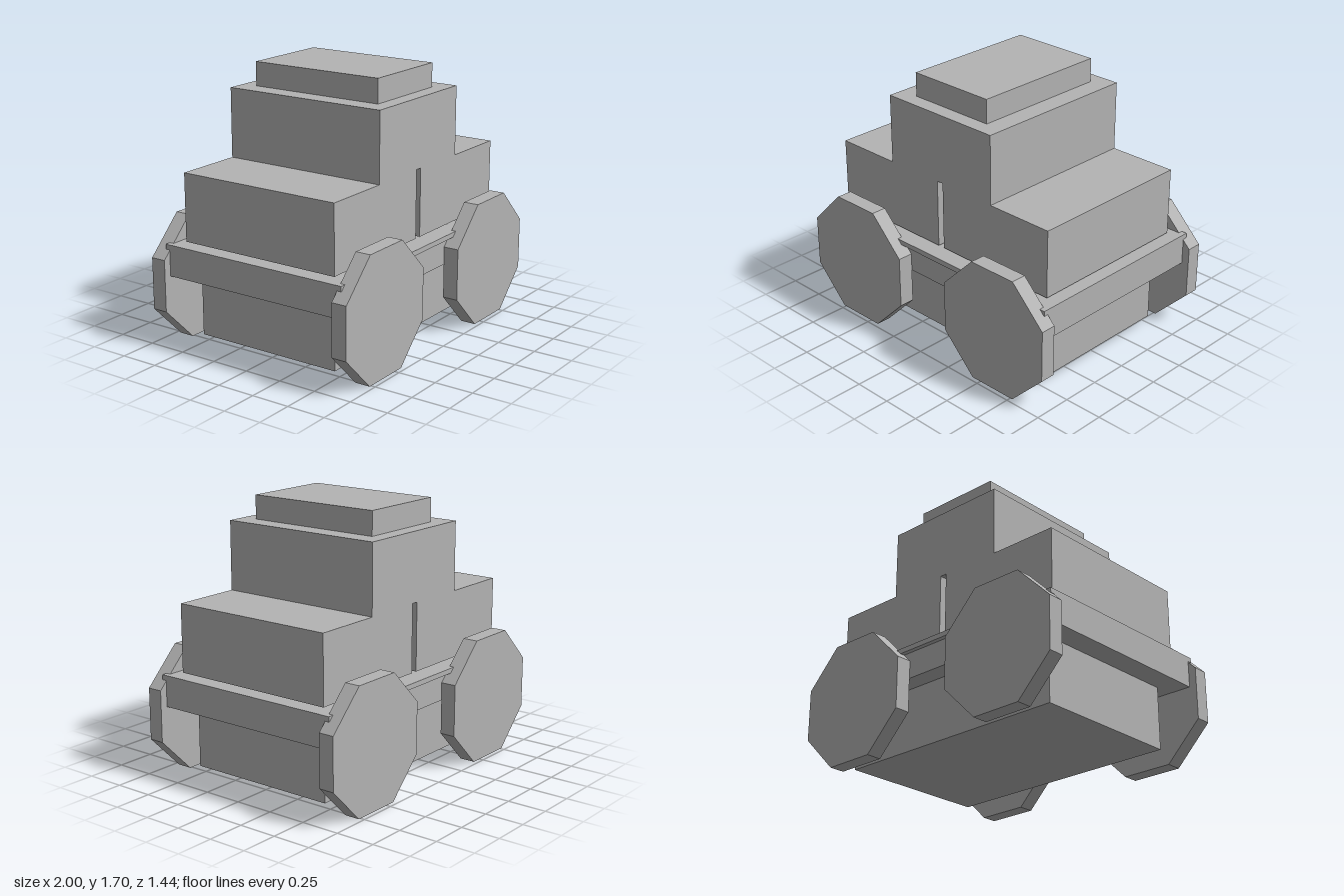
import * as THREE from 'three';

export function createModel() {
  const model = new THREE.Group();
  const grey = new THREE.MeshStandardMaterial({ color: 0xb3b3b3 });
  grey.name = 'plain grey';

  const add = (name, geometry, x = 0, y = 0, z = 0) => {
    const mesh = new THREE.Mesh(geometry, grey);
    mesh.name = name;
    mesh.position.set(x, y, z);
    model.add(mesh);
    return mesh;
  };

  // Extrudes a left-right symmetric outline, given by its +x half from top to bottom
  const mirroredPrism = (half, depth) => {
    const mirrored = half.map(([x, y]) => [-x, y]).reverse();
    const shape = new THREE.Shape([...half, ...mirrored].map(([x, y]) => new THREE.Vector2(x, y)));
    return new THREE.ExtrudeGeometry(shape, { depth, bevelEnabled: false }).translate(0, 0, -depth / 2);
  };

  // Underbody block between the wheels
  add('underbody', new THREE.BoxGeometry(1.6, 0.4, 1), 0, 0.252, 0);

  // Chassis slab with a thin lip along both long sides, extruded along x
  const chassis = mirroredPrism([[0.652, 0.652], [0.652, 0.62], [0.622, 0.62], [0.622, 0.452]], 1.9);
  add('chassis', chassis.rotateY(Math.PI / 2));

  // Stepped upper body, floating just above the chassis, with a slot right through
  const body = [[0.425, 1.543], [0.425, 1.1], [0.875, 1.1], [0.875, 0.666], [0.0225, 0.666], [0.0225, 1.103]];
  add('upperBody', mirroredPrism(body, 1.104));

  // Roof block
  add('roof', new THREE.BoxGeometry(0.595, 0.153, 0.905), 0, 1.6195, 0);

  // Four octagonal wheels standing on flat sides
  const wheel = new THREE.CylinderGeometry(0.4 / Math.cos(Math.PI / 8), 0.4 / Math.cos(Math.PI / 8), 0.1, 8)
    .toNonIndexed();
  wheel.rotateY(Math.PI / 8).rotateX(Math.PI / 2);
  wheel.computeVertexNormals();
  for (const [side, x] of [['Left', 0.6], ['Right', -0.6]]) {
    add('front' + side + 'Wheel', wheel, x, 0.4, 0.672);
    add('back' + side + 'Wheel', wheel, x, 0.4, -0.672);
  }

  return model;
}
